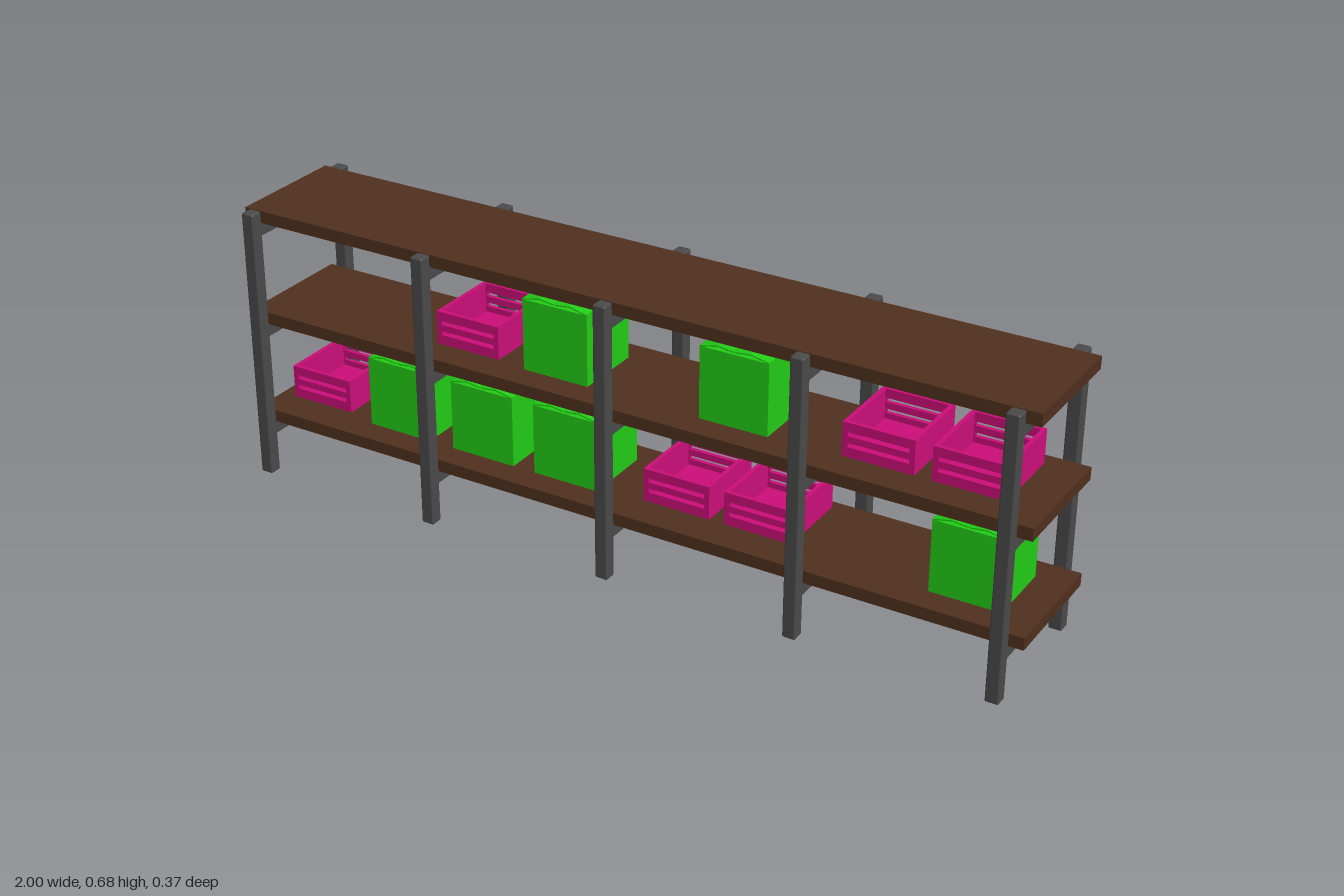
import * as THREE from 'three';
import { RoundedBoxGeometry } from 'three/addons/geometries/RoundedBoxGeometry.js';

const mat = (color) => new THREE.MeshStandardMaterial({ color });
const metal = mat(0x4a4a4a), wood = mat(0x50301e), pink = mat(0xcc0e7a), green = mat(0x22cc16);

function add(parent, name, geometry, material, x = 0, y = 0, z = 0) {
  const mesh = new THREE.Mesh(geometry, material);
  mesh.name = name;
  mesh.position.set(x, y, z);
  parent.add(mesh);
  return mesh;
}

function rect(path, x0, y0, x1, y1) {
  path.moveTo(x0, y0);
  path.lineTo(x1, y0);
  path.lineTo(x1, y1);
  path.lineTo(x0, y1);
  path.closePath();
  return path;
}

// Open crate: slotted front and back, solid sides, floor
function makeCrate() {
  const W = 0.17, H = 0.082, D = 0.193, T = 0.01;
  const crate = new THREE.Group();
  crate.name = 'crate';
  const panel = rect(new THREE.Shape(), -W / 2, 0, W / 2, H);
  for (const y of [0.024, 0.05]) panel.holes.push(rect(new THREE.Path(), -0.072, y, 0.072, y + 0.01));
  const panelGeo = new THREE.ExtrudeGeometry(panel, { depth: T, bevelEnabled: false });
  add(crate, 'crateFront', panelGeo, pink, 0, 0, D / 2 - T);
  add(crate, 'crateBack', panelGeo, pink, 0, 0, -D / 2);
  const sideGeo = new THREE.BoxGeometry(T, H, D - 2 * T);
  for (const s of [-1, 1]) add(crate, 'crateSide', sideGeo, pink, s * (W - T) / 2, H / 2, 0);
  add(crate, 'crateFloor', new THREE.BoxGeometry(W - 2 * T, T, D - 2 * T), pink, 0, T / 2, 0);
  return crate;
}

// Carton with two loosely folded lid flaps
function makeCarton() {
  const W = 0.17, H = 0.175, D = 0.174;
  const carton = new THREE.Group();
  carton.name = 'carton';
  add(carton, 'cartonBody', new THREE.BoxGeometry(W, H, D), green, 0, H / 2, 0);
  const flap = new THREE.Shape([
    [0.085, -0.001], [0.085, 0.002], [0.04, 0.0115], [0.002, 0.007], [0.002, 0.004], [0.04, 0.0085],
  ].map(([x, y]) => new THREE.Vector2(x, y)));
  const geo = new THREE.ExtrudeGeometry(flap, { depth: D, bevelEnabled: false }).translate(0, 0, -D / 2);
  for (const turn of [0, Math.PI]) add(carton, 'cartonFlap', geo, green, 0, H, 0).rotation.y = turn;
  return carton;
}

export function createModel() {
  const model = new THREE.Group();
  model.name = 'shelvingUnit';
  const shelfTops = [0.16, 0.42, 0.68];

  // Shelf boards
  const boardGeo = new THREE.BoxGeometry(2, 0.03, 0.302);
  for (const y of shelfTops) add(model, 'shelfBoard', boardGeo, wood, 0, y - 0.015, 0);

  // Upright frames: two posts joined by a beam under each shelf
  const postGeo = new RoundedBoxGeometry(0.032, 0.68, 0.032, 2, 0.004);
  const beamGeo = new RoundedBoxGeometry(0.03, 0.032, 0.32, 2, 0.003);
  for (let i = 0; i < 5; i++) {
    const frame = new THREE.Group();
    frame.name = 'uprightFrame';
    frame.position.x = -0.97 + i * 0.48;
    for (const s of [-1, 1]) add(frame, 'post', postGeo, metal, 0, 0.34, s * 0.167);
    for (const y of shelfTops) add(frame, 'crossBeam', beamGeo, metal, 0, y - 0.046, 0);
    model.add(frame);
  }

  // Stored goods, by shelf: x positions of cartons and crates
  const goods = [
    { y: shelfTops[0], cartons: [-0.63, -0.393, -0.165, 0.835], crates: [-0.877, 0.117, 0.325], crateZ: -0.031 },
    { y: shelfTops[1], cartons: [-0.187, 0.27], crates: [-0.432, 0.613, 0.823], crateZ: -0.02 },
  ];
  const carton = makeCarton(), crate = makeCrate();
  for (const { y, cartons, crates, crateZ } of goods) {
    for (const x of cartons) {
      const item = carton.clone();
      item.position.set(x, y, -0.001);
      model.add(item);
    }
    for (const x of crates) {
      const item = crate.clone();
      item.position.set(x, y, crateZ);
      model.add(item);
    }
  }
  return model;
}
